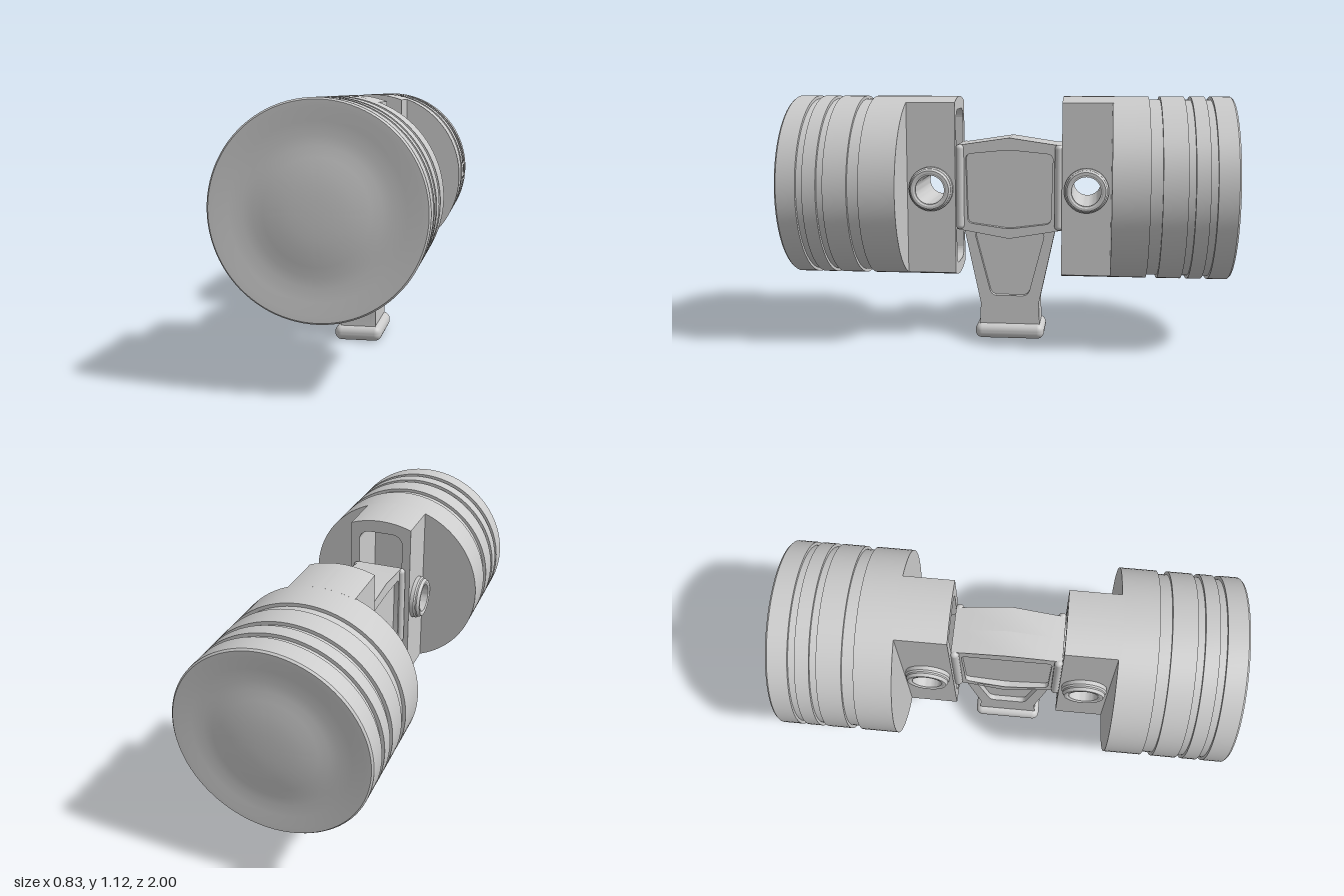
import * as THREE from 'three';
import { toCreasedNormals } from 'three/addons/utils/BufferGeometryUtils.js';
import { RoundedBoxGeometry } from 'three/addons/geometries/RoundedBoxGeometry.js';

const grey = new THREE.MeshStandardMaterial({ color: 0xcccccc });
const AXIS = 0.71; // height of the piston axis
const R = 0.413;   // piston radius

function add(parent, name, geometry) {
  const mesh = new THREE.Mesh(geometry, grey);
  mesh.name = name;
  parent.add(mesh);
  return mesh;
}

const points = (list) => list.map(([a, b]) => new THREE.Vector2(a, b));

// Closed outline with every corner rounded by radius r
function roundedPath(list, r, PathType = THREE.Path) {
  const p = points(list), n = p.length, path = new PathType();
  p.forEach((c, i) => {
    const toward = (q) => c.clone().add(q.clone().sub(c).setLength(r));
    const a = toward(p[(i + n - 1) % n]), b = toward(p[(i + 1) % n]);
    if (i === 0) path.moveTo(a.x, a.y); else path.lineTo(a.x, a.y);
    path.quadraticCurveTo(c.x, c.y, b.x, b.y);
  });
  path.closePath();
  return path;
}

function circleHole(z, y, r) {
  return new THREE.Path().absarc(z, y, r, 0, Math.PI * 2, true);
}

// Extrude a (z, y) shape sideways from x0 to x1
function sideExtrude(shape, x0, x1) {
  const g = new THREE.ExtrudeGeometry(shape, { depth: x1 - x0, bevelEnabled: false, curveSegments: 24 });
  g.rotateY(-Math.PI / 2).translate(x1, 0, 0);
  return toCreasedNormals(g, 0.6);
}

function lathe(list, segments, crease = 0.5) {
  return toCreasedNormals(new THREE.LatheGeometry(points(list), segments), crease);
}

// One piston with its axis on z and its crown facing +z
function createPiston() {
  const piston = new THREE.Group();

  // Grooved body with a softly domed crown
  const profile = [[0, 0.46], [R, 0.46]];
  for (const [z0, z1] of [[0.62, 0.67], [0.775, 0.805], [0.865, 0.895]]) {
    profile.push([R, z0], [R - 0.014, z0], [R - 0.014, z1], [R, z1]);
  }
  profile.push([R, 0.98], [R - 0.007, 0.988], [0.38, 0.987], [0.33, 0.982], [0.28, 0.979],
    [0.24, 0.981], [0.2, 0.987], [0.15, 0.994], [0.1, 0.998], [0.05, 1], [0, 1]);
  add(piston, 'pistonBody', lathe(profile, 96).rotateX(Math.PI / 2));

  // Hollow skirt: two side plates with pin holes
  const plate = new THREE.Shape(points([[0.24, -0.31], [0.47, -0.31], [0.47, 0.31], [0.24, 0.31]]));
  plate.holes.push(circleHole(0.35, 0, 0.08));
  add(piston, 'skirtSideLeft', sideExtrude(plate, 0.105, 0.145));
  add(piston, 'skirtSideRight', sideExtrude(plate, -0.145, -0.105));

  // Curved skirt ends, following the piston's round wall
  const end = new THREE.Shape();
  const half = Math.asin(0.145 / R);
  end.moveTo(-0.145, 0.31);
  end.lineTo(-0.105, 0.31);
  end.quadraticCurveTo(-0.1, 0.35, -0.055, 0.355);
  end.lineTo(0.055, 0.355);
  end.quadraticCurveTo(0.1, 0.35, 0.105, 0.31);
  end.lineTo(0.145, 0.31);
  end.absarc(0, 0, R, Math.PI / 2 - half, Math.PI / 2 + half, false);
  end.closePath();
  const endGeometry = toCreasedNormals(
    new THREE.ExtrudeGeometry(end, { depth: 0.23, bevelEnabled: false, curveSegments: 16 }).translate(0, 0, 0.24), 0.4);
  add(piston, 'skirtTop', endGeometry);
  add(piston, 'skirtBottom', endGeometry).rotation.z = Math.PI;

  // Hollow wrist pin running right through
  const pin = lathe([[0.065, -0.187], [0.08, -0.187], [0.08, 0.187], [0.065, 0.187], [0.065, -0.187]], 48);
  add(piston, 'wristPin', pin.rotateZ(-Math.PI / 2)).position.z = 0.35;

  // Stepped collars around the pin
  for (const side of [-1, 1]) {
    const collar = lathe([[0.08, 0.14], [0.1, 0.14], [0.1, 0.163], [0.094, 0.17], [0.094, 0.177],
      [0.086, 0.19], [0.075, 0.19], [0.066, 0.184], [0.066, 0.14]], 48);
    add(piston, 'pinCollar', collar.rotateZ(-side * Math.PI / 2)).position.z = 0.35;
  }
  return piston;
}

export function createModel() {
  const model = new THREE.Group();
  model.name = 'pistonHammer';

  // Two opposed pistons form the head
  for (const [name, turn] of [['frontPiston', 0], ['backPiston', Math.PI]]) {
    const piston = createPiston();
    piston.name = name;
    piston.position.y = AXIS;
    piston.rotation.y = turn;
    model.add(piston);
  }

  // Central core with an arm reaching each wrist pin
  const core = new THREE.Shape();
  core.moveTo(0, 0.5);
  core.lineTo(0.235, 0.535);
  core.lineTo(0.29, 0.6);
  core.absarc(0.35, AXIS, 0.1, -Math.PI / 2, Math.PI / 2, false);
  core.lineTo(0.29, 0.83);
  core.lineTo(0.235, 0.89);
  core.lineTo(0, 0.925);
  core.lineTo(-0.235, 0.89);
  core.lineTo(-0.29, 0.83);
  core.absarc(-0.35, AXIS, 0.1, Math.PI / 2, Math.PI * 1.5, false);
  core.lineTo(-0.29, 0.6);
  core.lineTo(-0.235, 0.535);
  core.closePath();
  core.holes.push(circleHole(0.35, AXIS, 0.079), circleHole(-0.35, AXIS, 0.079));
  add(model, 'rodCore', sideExtrude(core, -0.085, 0.085));

  // Raised frames around the side panels, slightly proud at the middle
  const frame = new THREE.Shape(points([[-0.24, 0.52], [0, 0.48], [0.24, 0.52],
    [0.24, 0.905], [0.2, 0.91], [0, 0.94], [-0.2, 0.91], [-0.24, 0.905]]));
  frame.holes.push(roundedPath([[-0.19, 0.55], [0, 0.525], [0.19, 0.55],
    [0.198, 0.865], [0, 0.885], [-0.198, 0.865]], 0.025));
  for (const side of [-1, 1]) {
    const g = side > 0 ? sideExtrude(frame, 0, 0.105) : sideExtrude(frame, -0.105, 0);
    const p = g.attributes.position;
    for (let i = 0; i < p.count; i++) {
      p.setX(i, p.getX(i) * (1 + 0.09 * (1 - Math.abs(p.getZ(i)) / 0.24)));
    }
    add(model, side > 0 ? 'panelFrameLeft' : 'panelFrameRight', g);
  }

  // Rounded beads on the four upright corners
  for (const x of [-0.108, 0.108]) {
    for (const z of [-0.225, 0.225]) {
      add(model, 'cornerBead', new THREE.CapsuleGeometry(0.019, 0.35, 6, 16)).position.set(x, 0.715, z);
    }
  }

  // Tapered handle: inner web with a recessed panel on each side
  const outline = [[-0.14, 0.05], [0.14, 0.05], [0.135, 0.17], [0.212, 0.53], [-0.212, 0.53], [-0.135, 0.17]];
  add(model, 'handleWeb', sideExtrude(new THREE.Shape(points(outline)), -0.055, 0.055));
  const rim = new THREE.Shape(points(outline));
  rim.holes.push(roundedPath([[-0.085, 0.205], [0.085, 0.205], [0.163, 0.505], [-0.163, 0.505]], 0.03));
  add(model, 'handleRimLeft', sideExtrude(rim, 0.055, 0.08));
  add(model, 'handleRimRight', sideExtrude(rim, -0.08, -0.055));

  // Rounded foot
  add(model, 'foot', new RoundedBoxGeometry(0.216, 0.07, 0.32, 6, 0.032)).position.y = 0.037;

  return model;
}
